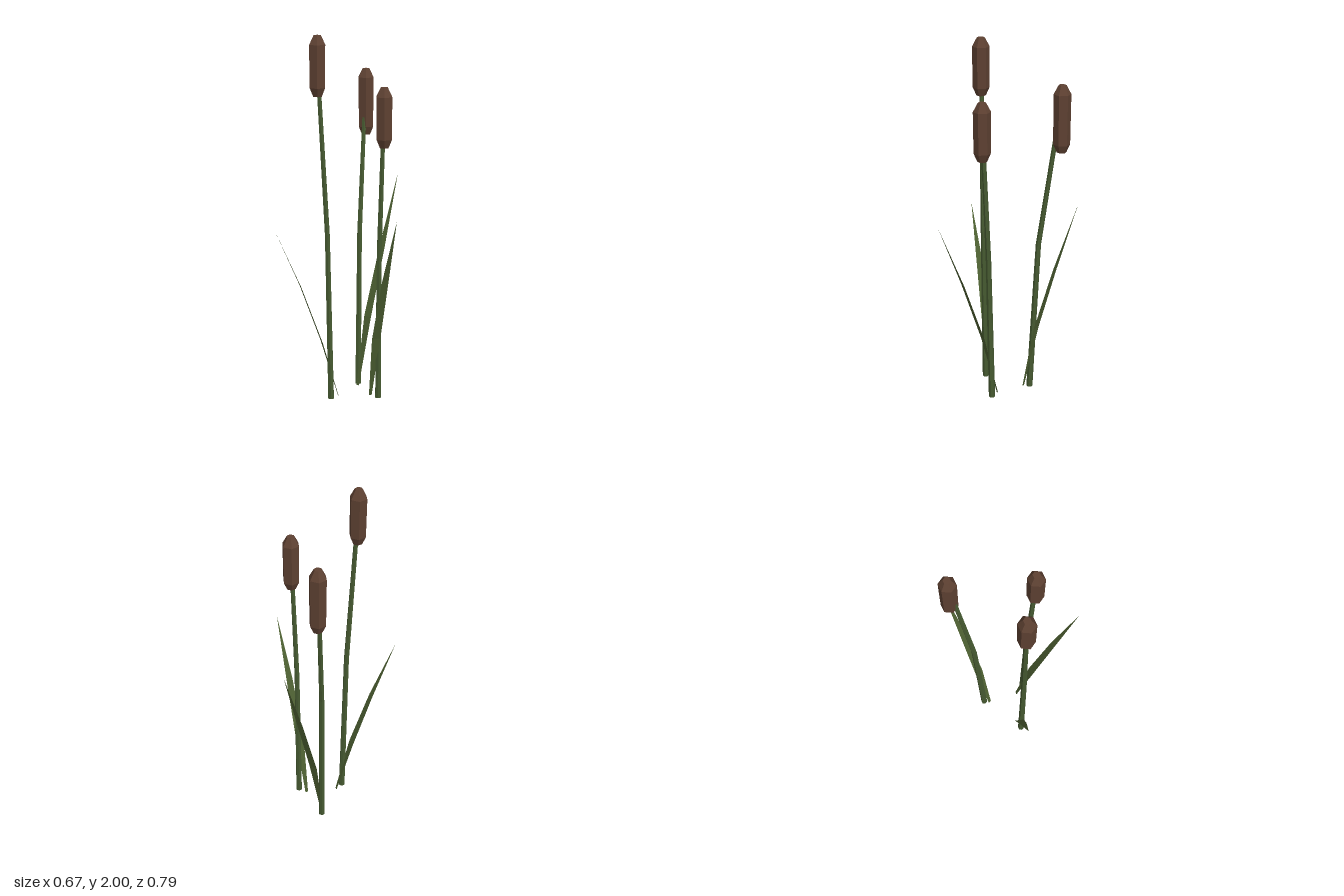
import * as THREE from 'three';

const stemMat = new THREE.MeshStandardMaterial({ name: 'stemGreen', color: 0x465a31, flatShading: true });
const leafMat = new THREE.MeshStandardMaterial({ name: 'leafGreen', color: 0x4d6032, flatShading: true, side: THREE.DoubleSide });
const headMat = new THREE.MeshStandardMaterial({ name: 'headBrown', color: 0x5e4132, flatShading: true });

// Each plant: three stem joints, head centre with its bottom and top, and leaf joints from root to tip
const plants = [
  {
    stem: [[-0.105, 0, 0.197], [-0.114, 0.93, 0.21], [-0.155, 1.9, 0.235]],
    head: [-0.153, 0.235, 1.68, 2.0],
    leaf: [[-0.09, 0, 0.144], [-0.152, 0.325, 0.215], [-0.237, 0.65, 0.293], [-0.335, 0.97, 0.39]],
  },
  {
    stem: [[0.114, 0, 0.055], [0.126, 0.84, 0.066], [0.162, 1.64, 0.082]],
    head: [0.162, 0.081, 1.41, 1.73],
    leaf: [[0.06, 0, 0.046], [0.128, 0.355, 0.102], [0.224, 0.71, 0.176], [0.335, 1.06, 0.26]],
  },
  {
    stem: [[-0.095, 0, -0.087], [-0.109, 0.88, -0.13], [-0.135, 1.7, -0.245]],
    head: [-0.135, -0.249, 1.42, 1.79],
    leaf: [[-0.08, 0, -0.055], [-0.0625, 0.39, -0.14], [-0.035, 0.78, -0.26], [-0.01, 1.175, -0.395]],
  },
];

// Six-sided tapering stem whose three rings follow the joints
function makeStem(joints) {
  const geo = new THREE.CylinderGeometry(0.012, 0.018, 2, 6, 2);
  geo.rotateY(Math.PI / 6);
  const pos = geo.attributes.position;
  for (let i = 0; i < pos.count; i++) {
    const [x, y, z] = joints[Math.round(pos.getY(i)) + 1];
    pos.setXYZ(i, pos.getX(i) + x, y, pos.getZ(i) + z);
  }
  return new THREE.Mesh(geo, stemMat);
}

// Bevelled six-sided seed head
function makeHead([x, z, bottom, top]) {
  const profile = [
    [0, bottom], [0.026, bottom], [0.046, bottom + 0.045],
    [0.048, top - 0.05], [0.021, top], [0, top],
  ].map(([r, y]) => new THREE.Vector2(r, y));
  const mesh = new THREE.Mesh(new THREE.LatheGeometry(profile, 6, Math.PI / 2), headMat);
  mesh.position.set(x, 0, z);
  return mesh;
}

// Flat blade, wide at the lower third and pointed at the tip
function makeLeaf(joints) {
  const halfWidths = [0.0085, 0.025, 0.019, 0.0005];
  const root = joints[0], tip = joints[3];
  const side = new THREE.Vector3(tip[2] - root[2], 0, root[0] - tip[0]).normalize();
  const verts = [], index = [];
  joints.forEach(([x, y, z], i) => {
    for (const s of [-1, 1]) {
      const w = s * halfWidths[i];
      verts.push(x + side.x * w, y, z + side.z * w);
    }
    if (i < 3) {
      const a = i * 2;
      index.push(a, a + 1, a + 3, a, a + 3, a + 2);
    }
  });
  const geo = new THREE.BufferGeometry();
  geo.setAttribute('position', new THREE.Float32BufferAttribute(verts, 3));
  geo.setIndex(index);
  geo.computeVertexNormals();
  return new THREE.Mesh(geo, leafMat);
}

export function createModel() {
  const model = new THREE.Group();
  model.name = 'reeds';
  for (const p of plants) {
    const plant = new THREE.Group();
    plant.name = 'reed';
    const parts = { stem: makeStem(p.stem), seedHead: makeHead(p.head), leaf: makeLeaf(p.leaf) };
    for (const [name, mesh] of Object.entries(parts)) {
      mesh.name = name;
      plant.add(mesh);
    }
    model.add(plant);
  }
  return model;
}
